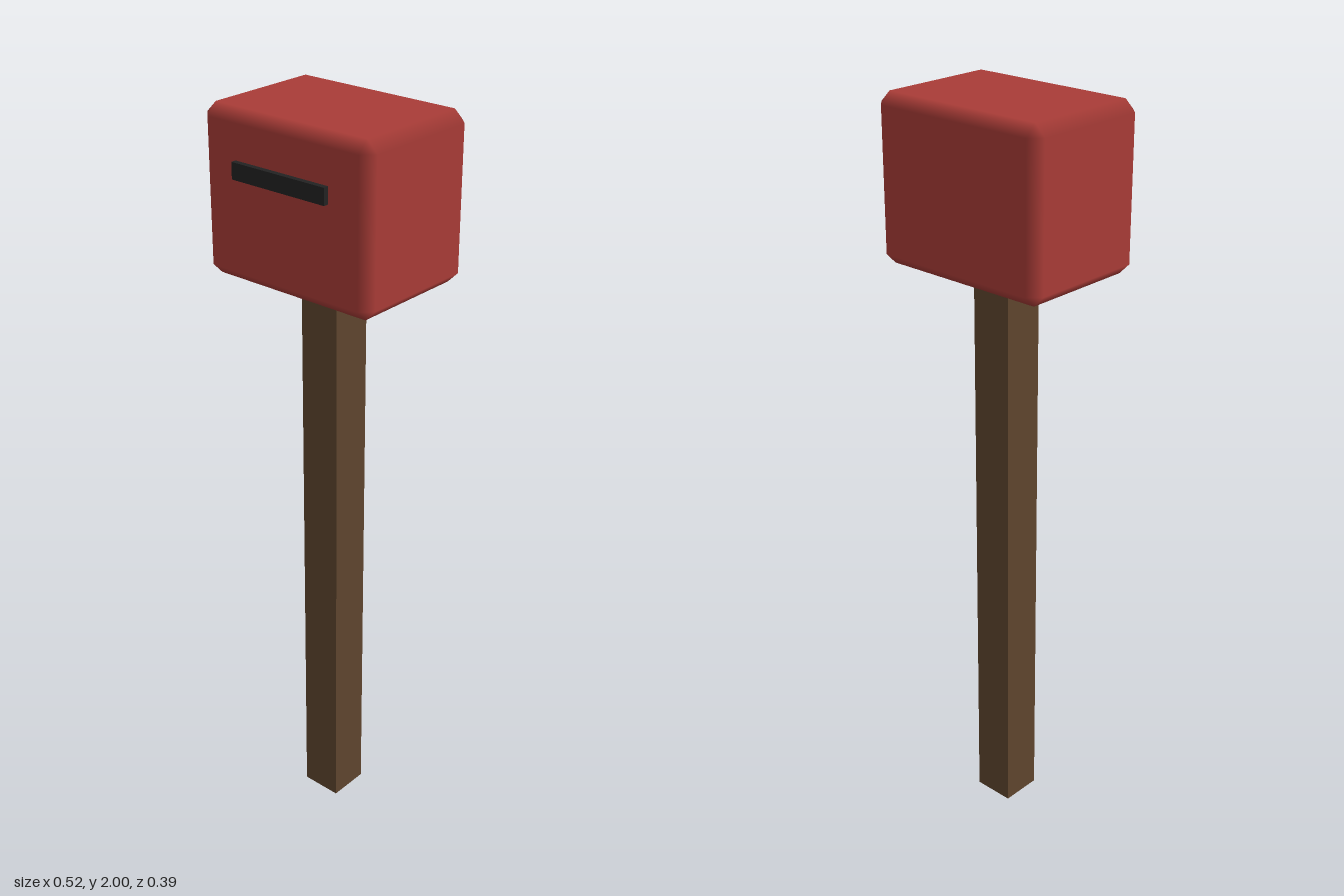
import * as THREE from 'three';
import { ConvexGeometry } from 'three/addons/geometries/ConvexGeometry.js';

// Box with every edge and corner chamfered; faces stay flat, chamfers shade smoothly
function chamferedBox(w, h, d, c) {
  const half = [w / 2, h / 2, d / 2];
  const points = [];
  for (const sx of [-1, 1]) for (const sy of [-1, 1]) for (const sz of [-1, 1]) {
    const sign = [sx, sy, sz];
    for (let axis = 0; axis < 3; axis++) {
      points.push(new THREE.Vector3(...sign.map((s, i) => s * (half[i] - (i === axis ? 0 : c)))));
    }
  }
  const geometry = new ConvexGeometry(points);
  const pos = geometry.attributes.position;
  const normal = geometry.attributes.normal;
  // Each corner point takes the normal of the main face it lies on
  for (let i = 0; i < pos.count; i++) {
    const p = [pos.getX(i), pos.getY(i), pos.getZ(i)];
    normal.setXYZ(i, ...p.map((v, k) => (Math.abs(v) > half[k] - c / 2 ? Math.sign(v) : 0)));
  }
  return geometry;
}

export function createModel() {
  const group = new THREE.Group();
  group.name = 'mailbox';

  const material = (name, color) => {
    const m = new THREE.MeshStandardMaterial({ color });
    m.name = name;
    return m;
  };
  const add = (name, geometry, mat, x, y, z) => {
    const mesh = new THREE.Mesh(geometry, mat);
    mesh.name = name;
    mesh.position.set(x, y, z);
    group.add(mesh);
  };

  const red = material('red paint', 0xa93c37);
  const wood = material('brown wood', 0x5f452e);
  const black = material('black slot', 0x222222);

  // Square wooden post
  add('post', new THREE.BoxGeometry(0.113, 1.6, 0.113), wood, 0, 0.8, -0.008);
  // Chamfered letter box
  add('box', chamferedBox(0.516, 0.423, 0.371, 0.029), red, 0, 1.7885, -0.008);
  // Letter slot standing slightly proud of the front
  add('letterSlot', new THREE.BoxGeometry(0.284, 0.042, 0.028), black, 0, 1.862, 0.178);

  return group;
}
